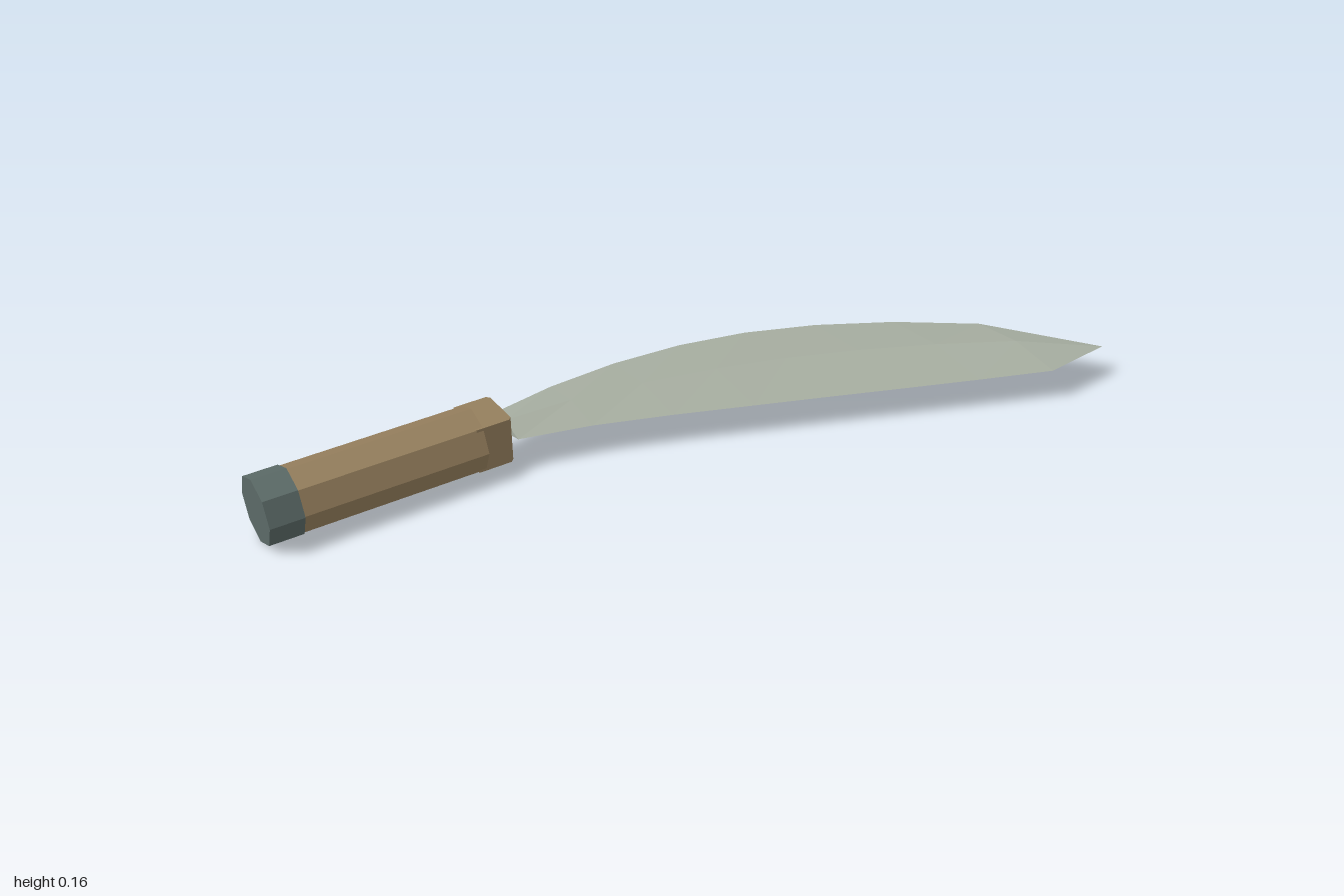
import * as THREE from 'three';

const CY = 0.081;   // height of the long axis
const CZ = -0.198;  // depth of the handle axis

const material = (name, color) => {
  const m = new THREE.MeshStandardMaterial({ color });
  m.name = name;
  m.flatShading = true;
  return m;
};

// Eight-sided bar running along x
function octagonBar(name, x0, x1, radius, mat) {
  const geo = new THREE.CylinderGeometry(radius, radius, x1 - x0, 8);
  geo.rotateZ(Math.PI / 2);
  const mesh = new THREE.Mesh(geo, mat);
  mesh.name = name;
  mesh.position.set((x0 + x1) / 2, CY, CZ);
  return mesh;
}

// Square collar with its two upright front edges chamfered
function makeCollar(mat) {
  const h = 0.057, c = 0.008, x0 = -0.5, x1 = -0.41;
  const plan = new THREE.Shape([
    [x0, -h], [x1 - c, -h], [x1, -h + c], [x1, h - c], [x1 - c, h], [x0, h],
  ].map(([x, z]) => new THREE.Vector2(x, z)));
  const geo = new THREE.ExtrudeGeometry(plan, { depth: 2 * h, bevelEnabled: false });
  geo.rotateX(-Math.PI / 2);
  const mesh = new THREE.Mesh(geo, mat);
  mesh.name = 'collar';
  mesh.position.set(0, CY - h, CZ);
  return mesh;
}

// Curved blade: diamond cross-sections closing to a point
function makeBlade(mat) {
  const stations = [ // x, spine z, cutting edge z
    [-0.4, -0.265, -0.137], [-0.23, -0.295, -0.095], [-0.05, -0.305, -0.032],
    [0.13, -0.292, 0.037], [0.3, -0.255, 0.102], [0.47, -0.19, 0.168],
    [0.645, -0.095, 0.235], [0.82, 0.03, 0.3], [1, 0.28, 0.28],
  ];
  const last = stations.length - 1;
  const rings = stations.map(([x, spine, edge], i) => {
    const t = i === last ? 0 : 0.0165, mid = (spine + edge) / 2;
    return [[x, CY, spine], [x, CY + t, mid], [x, CY, edge], [x, CY - t, mid]];
  });
  const pos = [];
  const tri = (...corners) => corners.forEach((p) => pos.push(...p));
  for (let i = 0; i < last; i++) {
    for (let k = 0; k < 4; k++) {
      const n = (k + 1) % 4;
      const a = rings[i][k], b = rings[i][n], c = rings[i + 1][n], d = rings[i + 1][k];
      tri(a, b, d);
      if (i < last - 1) tri(b, c, d);
    }
  }
  // Flat end beside the collar
  const [s, t, e, u] = rings[0];
  tri(s, e, t);
  tri(s, u, e);
  const geo = new THREE.BufferGeometry();
  geo.setAttribute('position', new THREE.Float32BufferAttribute(pos, 3));
  geo.computeVertexNormals();
  const mesh = new THREE.Mesh(geo, mat);
  mesh.name = 'blade';
  return mesh;
}

export function createModel() {
  const wood = material('wood', 0x957f5d);
  const darkSteel = material('dark steel', 0x5b6a67);
  const steel = material('pale steel', 0xa6ada0);

  const model = new THREE.Group();
  model.name = 'machete';
  model.add(
    octagonBar('pommel', -1, -0.92, 0.081, darkSteel),
    octagonBar('grip', -0.92, -0.482, 0.078, wood),
    makeCollar(wood),
    makeBlade(steel),
  );
  return model;
}
